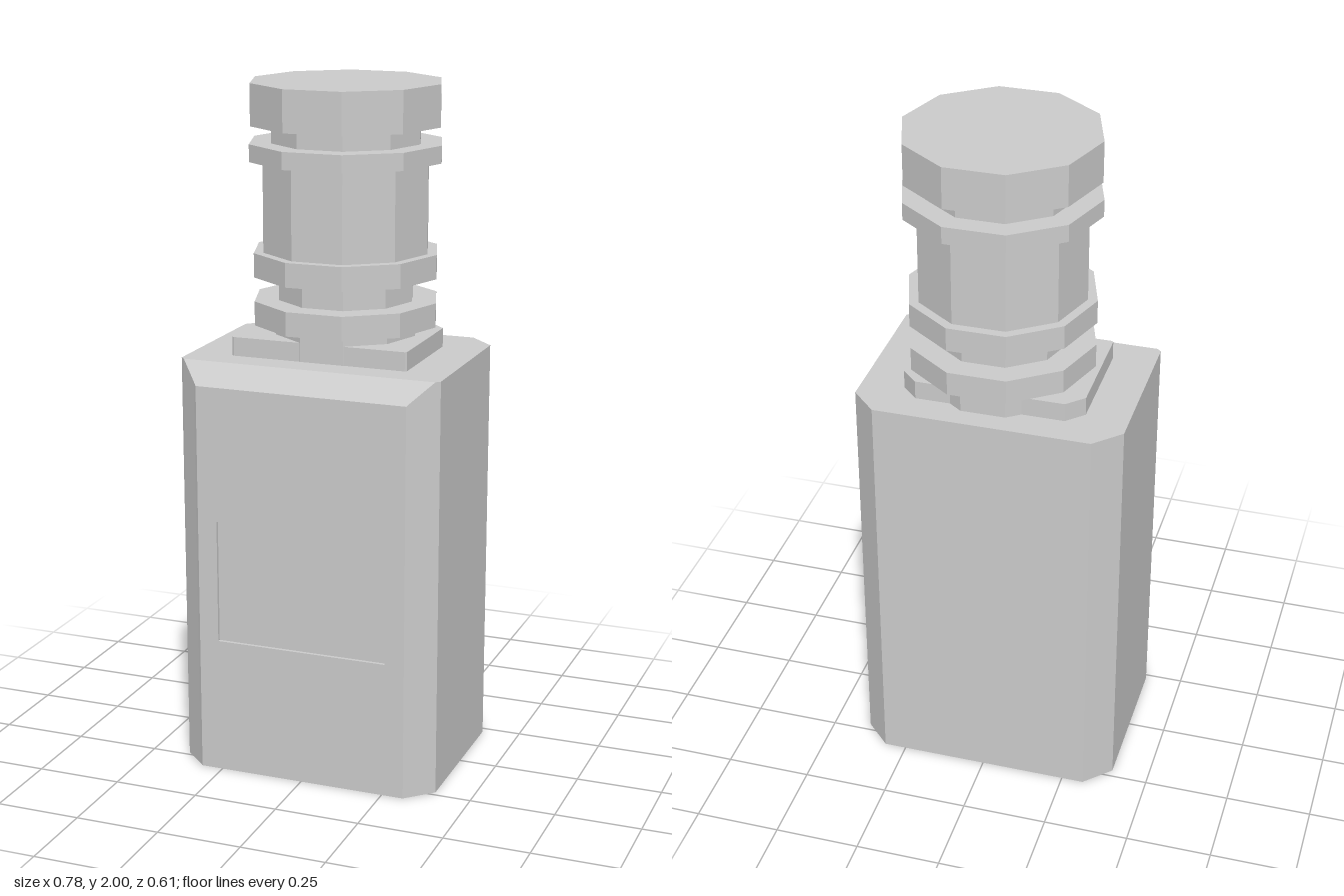
import * as THREE from 'three';
import { ConvexGeometry } from 'three/addons/geometries/ConvexGeometry.js';

const material = new THREE.MeshStandardMaterial({ color: 0xcccccc, flatShading: true });

function add(parent, name, geometry) {
  const mesh = new THREE.Mesh(geometry, material);
  mesh.name = name;
  parent.add(mesh);
  return mesh;
}

function polygon(points, Type = THREE.Shape) {
  return new Type(points.map(([x, y]) => new THREE.Vector2(x, y)));
}

const rectangle = (w, y0, y1) => [[-w, y0], [w, y0], [w, y1], [-w, y1]];

export function createModel() {
  const model = new THREE.Group();
  const top = 1.225, front = 0.306, recess = 0.01;

  // Bottle body: chamfered block with a bevelled upper front edge,
  // stopping short of the front face by the depth of the label recess
  const points = [];
  for (const s of [-1, 1]) {
    for (const y of [0, top]) {
      points.push([s * 0.315, y, -0.3], [s * 0.39, y, -0.225], [s * 0.39, y, 0.234]);
    }
    points.push([s * 0.378, top, 0.246]);
    points.push([s * (0.315 + recess), 0, front - recess]);
    points.push([s * (0.315 + recess), 1.165 + recess, front - recess]);
  }
  add(model, 'body', new ConvexGeometry(points.map((p) => new THREE.Vector3(...p))));

  // Front face with the label recess cut out; its back rim flares to meet the body
  const panel = polygon(rectangle(0.315, 0, 1.165));
  panel.holes.push(polygon(rectangle(0.257, 0.403, 0.768).reverse(), THREE.Path));
  const panelGeometry = new THREE.ExtrudeGeometry(panel, { depth: recess, bevelEnabled: false });
  const pos = panelGeometry.attributes.position;
  for (let i = 0; i < pos.count; i++) {
    if (pos.getZ(i) > recess / 2) continue;
    const x = pos.getX(i), y = pos.getY(i);
    if (Math.abs(x) > 0.3) pos.setX(i, x + Math.sign(x) * recess);
    if (y > 1) pos.setY(i, y + recess);
  }
  panelGeometry.computeVertexNormals();
  add(model, 'frontPanel', panelGeometry).position.z = front - recess;

  // Shoulder plate: large cut corners at the back, tiny ones in front
  const plate = polygon([
    [-0.26, -0.162], [0.26, -0.162], [0.265, -0.157], [0.265, 0.16],
    [0.217, 0.208], [-0.217, 0.208], [-0.265, 0.16], [-0.265, -0.157],
  ]);
  const plateGeometry = new THREE.ExtrudeGeometry(plate, { depth: 0.055, bevelEnabled: false });
  plateGeometry.rotateX(-Math.PI / 2);
  add(model, 'shoulderPlate', plateGeometry).position.y = top;

  // Ten-sided neck and cap, stacked from the bottom up: name, radius, bottom, top
  const neck = new THREE.Group();
  neck.name = 'neckAndCap';
  neck.position.set(0.011, 0, -0.0365);
  model.add(neck);
  const rings = [
    ['neckBase', 0.21, top, 1.31],
    ['lowerCollar', 0.272, 1.31, 1.38],
    ['neckGroove', 0.2, 1.38, 1.45],
    ['middleCollar', 0.273, 1.45, 1.52],
    ['neckBarrel', 0.245, 1.52, 1.78],
    ['upperCollar', 0.284, 1.78, 1.83],
    ['capGroove', 0.22, 1.83, 1.88],
    ['cap', 0.28, 1.88, 2],
  ];
  for (const [name, radius, y0, y1] of rings) {
    const ring = new THREE.CylinderGeometry(radius, radius, y1 - y0, 10, 1, false, Math.PI / 2);
    add(neck, name, ring).position.y = (y0 + y1) / 2;
  }

  return model;
}
